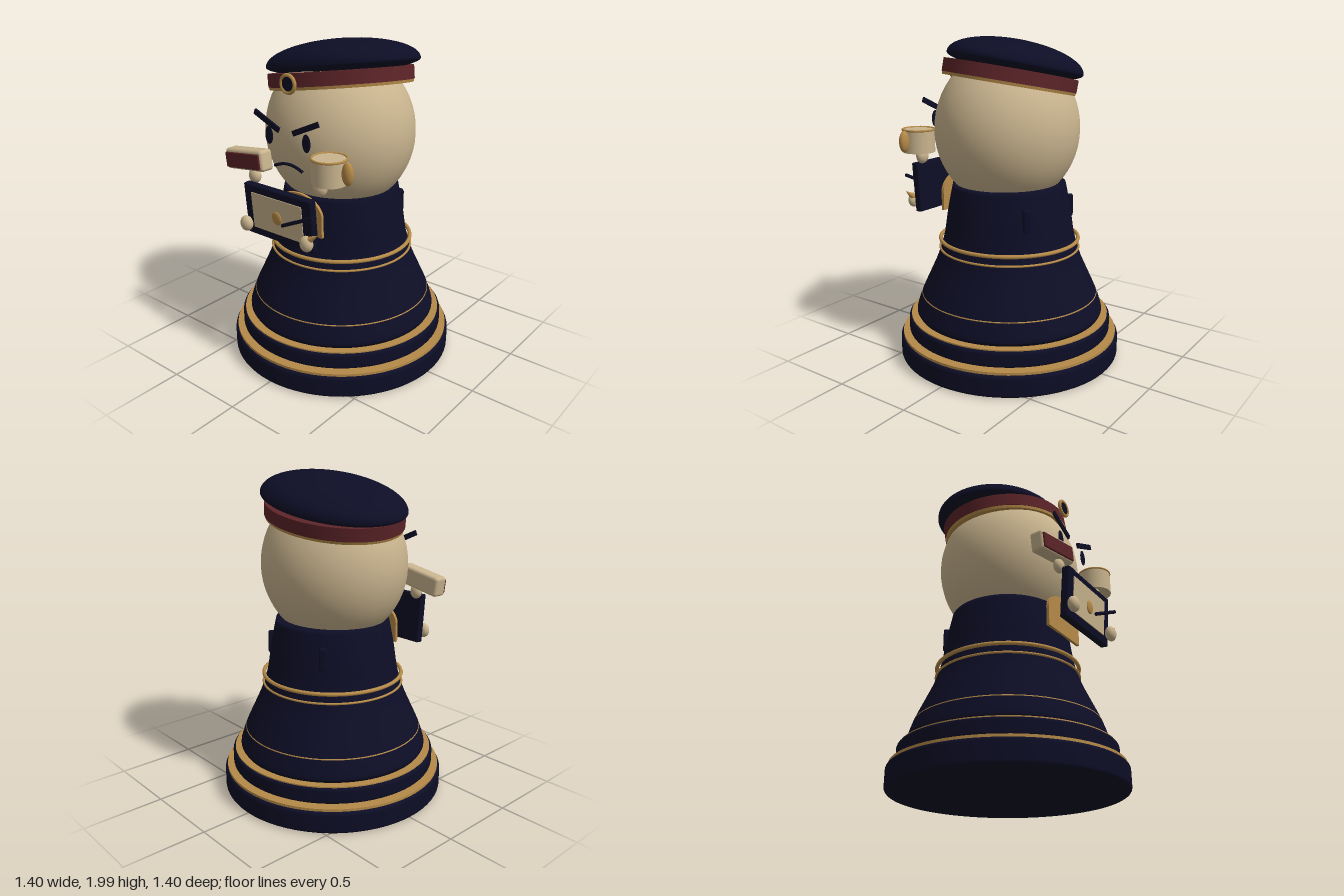
import * as THREE from 'three';
import { RoundedBoxGeometry } from 'three/addons/geometries/RoundedBoxGeometry.js';

const mat = (name, color) => Object.assign(new THREE.MeshStandardMaterial({ color }), { name });

export function createModel() {
  const navy = mat('navy', 0x0d0d26), gold = mat('gold', 0xb58a48);
  const cream = mat('cream', 0xc9b48e), red = mat('dark red', 0x5c2428);
  const model = new THREE.Group();
  model.name = 'officerFigure';

  const add = (parent, name, geo, material, pos = [0, 0, 0], rot = [0, 0, 0], scale = [1, 1, 1]) => {
    const m = new THREE.Mesh(geo, material);
    m.name = name;
    m.position.set(...pos);
    m.rotation.set(...rot);
    m.scale.set(...scale);
    parent.add(m);
    return m;
  };
  const group = (name, pos, rot = [0, 0, 0]) => {
    const g = new THREE.Group();
    g.name = name;
    g.position.set(...pos);
    g.rotation.set(...rot);
    model.add(g);
    return g;
  };
  const lathe = (pts) => new THREE.LatheGeometry(pts.map(p => new THREE.Vector2(...p)), 72);
  const ball = new THREE.SphereGeometry(1, 40, 28);
  const ellipsoid = (parent, name, material, pos, size, rot) => add(parent, name, ball, material, pos, rot, size);

  // Round base tier with softened rims
  const tier = (name, r, y0, y1, b) => {
    const pts = [[0, y0], [r - b, y0]];
    for (let i = 1; i <= 4; i++) {
      const a = i * Math.PI / 8;
      pts.push([r - b + b * Math.sin(a), y0 + b - b * Math.cos(a)]);
    }
    for (let i = 0; i <= 4; i++) {
      const a = i * Math.PI / 8;
      pts.push([r - b + b * Math.cos(a), y1 - b + b * Math.sin(a)]);
    }
    pts.push([0, y1]);
    add(model, name, lathe(pts), navy);
  };
  tier('lowerBase', 0.7, 0, 0.14, 0.022);
  tier('upperBase', 0.645, 0.16, 0.26, 0.018);
  add(model, 'lowerBaseTrim', new THREE.CylinderGeometry(0.685, 0.685, 0.016, 72), gold, [0, 0.147, 0]);
  add(model, 'upperBaseTrim', new THREE.CylinderGeometry(0.63, 0.63, 0.01, 72), gold, [0, 0.262, 0]);

  // Flared coat body
  const curve = new THREE.SplineCurve([[0.592, 0.285], [0.588, 0.315], [0.555, 0.41], [0.5, 0.53], [0.455, 0.63],
    [0.425, 0.72], [0.405, 0.8], [0.382, 0.95], [0.35, 1.11]].map(p => new THREE.Vector2(...p)));
  add(model, 'coat', lathe([[0, 0.267], [0.582, 0.267], ...curve.getPoints(40).map(p => [p.x, p.y]), [0, 1.12]]), navy);

  // Gold piping around the coat
  for (const [r, y, t] of [[0.553, 0.4, 0.007], [0.438, 0.698, 0.007], [0.434, 0.755, 0.012]])
    add(model, 'coatPiping', new THREE.TorusGeometry(r, t, 10, 72), gold, [0, y, 0], [Math.PI / 2, 0, 0]);

  // Small loops on the back of the coat
  for (const s of [-1, 1])
    add(model, 'coatBackLoop', new RoundedBoxGeometry(0.045, 0.14, 0.05, 2, 0.012), navy,
      [s * 0.24, 0.95, -0.29], [0, s * -0.69, 0]);

  // Chest plate behind the board
  const arch = new THREE.Shape();
  arch.moveTo(-0.18, 0.9);
  arch.lineTo(0.18, 0.9);
  arch.lineTo(0.18, 1.02);
  arch.absellipse(0, 1.02, 0.18, 0.12, 0, Math.PI, false);
  add(model, 'chestPlate', new THREE.ExtrudeGeometry(arch, { depth: 0.018, bevelEnabled: false, curveSegments: 20 }),
    gold, [0, 0, 0.386]);

  // Head and face
  ellipsoid(model, 'head', cream, [0, 1.44, 0.013], [0.462, 0.48, 0.437]);
  for (const s of [-1, 1]) {
    ellipsoid(model, 'eye', navy, [s * 0.14, 1.48, 0.478], [0.03, 0.052, 0.005]);
    add(model, 'eyebrow', new THREE.BoxGeometry(0.2, 0.032, 0.012), navy, [s * 0.145, 1.565, 0.488], [0, 0, s * 0.42]);
  }
  const mouth = new THREE.QuadraticBezierCurve3(new THREE.Vector3(-0.11, 1.303, 0),
    new THREE.Vector3(0, 1.36, 0), new THREE.Vector3(0.105, 1.303, 0));
  add(model, 'mouth', new THREE.TubeGeometry(mouth, 20, 0.009, 8), navy, [0, 0, 0.47]);

  // Tilted beret: gold edge, red band and soft crown
  const hat = group('beret', [-0.01, 1.72, 0], [-0.09, 0, 0.16]);
  const oval = [0.46, 1, 0.385];
  add(hat, 'beretEdge', new THREE.CylinderGeometry(0.995, 0.985, 0.018, 72), gold, [0, -0.01, 0], [0, 0, 0], oval);
  add(hat, 'beretBand', new THREE.CylinderGeometry(1, 1, 0.078, 72), red, [0, 0.037, 0], [0, 0, 0], oval);
  const crown = [];
  for (let i = 0; i <= 32; i++) {
    const a = -Math.PI / 2 + i * Math.PI / 32;
    crown.push([Math.max(0, Math.cos(a)), Math.sin(a) * (a < 0 ? 0.065 : 0.142)]);
  }
  add(hat, 'beretCrown', lathe(crown), navy, [-0.006, 0.113, -0.025], [0, 0, 0], [0.51, 1, 0.362]);

  // Round badge
  const badge = group('badge', [-0.02, 1.78, 0.44]);
  add(badge, 'badgeRing', new THREE.TorusGeometry(0.049, 0.011, 10, 32), gold);
  add(badge, 'badgeCentre', new THREE.CylinderGeometry(0.045, 0.045, 0.012, 32), navy, [0, 0, 0], [Math.PI / 2, 0, 0]);

  // Mug with handle
  const mug = group('mug', [0.3, 1.36, 0.475]);
  add(mug, 'mugCup', new THREE.CylinderGeometry(0.1, 0.1, 0.14, 40), cream);
  add(mug, 'mugRim', new THREE.TorusGeometry(0.098, 0.007, 8, 40), gold, [0, 0.07, 0], [Math.PI / 2, 0, 0]);
  ellipsoid(mug, 'mugHandle', gold, [0.127, 0.008, 0.002], [0.036, 0.066, 0.026]);

  // Brick-shaped book with a red face
  const book = group('book', [-0.29, 1.315, 0.5], [0, -0.07, 0.145]);
  add(book, 'bookBody', new RoundedBoxGeometry(0.325, 0.125, 0.09, 3, 0.02), cream);
  add(book, 'bookFace', new RoundedBoxGeometry(0.3, 0.092, 0.016, 2, 0.006), red, [-0.004, -0.004, 0.045]);

  // Board with paper, seal and pen
  const board = group('board', [0, 1.042, 0.55], [0.08, 0, 0]);
  add(board, 'boardFrame', new RoundedBoxGeometry(0.51, 0.318, 0.048, 2, 0.008), navy);
  add(board, 'boardPaper', new THREE.BoxGeometry(0.385, 0.222, 0.008), cream, [-0.004, 0.003, 0.025]);
  ellipsoid(board, 'boardSeal', gold, [-0.004, -0.004, 0.03], [0.036, 0.041, 0.01]);
  const pen = group('pen', [0.17, 1.067, 0.598], [0.12, 0, 0.44]);
  add(pen, 'penShaft', new THREE.CylinderGeometry(0.011, 0.011, 0.265, 12), navy, [0, 0, 0], [0, 0, Math.PI / 2]);
  add(model, 'goldTip', new THREE.ConeGeometry(0.022, 0.08, 16), gold, [0.28, 1.0, 0.59], [0, 0, -0.95]);

  // Hands
  for (const [x, y, z, r] of [[-0.235, 0.952, 0.595, 0.043], [0.232, 0.952, 0.595, 0.043],
    [-0.235, 1.225, 0.51, 0.041], [0.25, 1.255, 0.495, 0.045]])
    ellipsoid(model, 'hand', cream, [x, y, z], [r, r * 1.1, r * 0.75]);

  return model;
}
